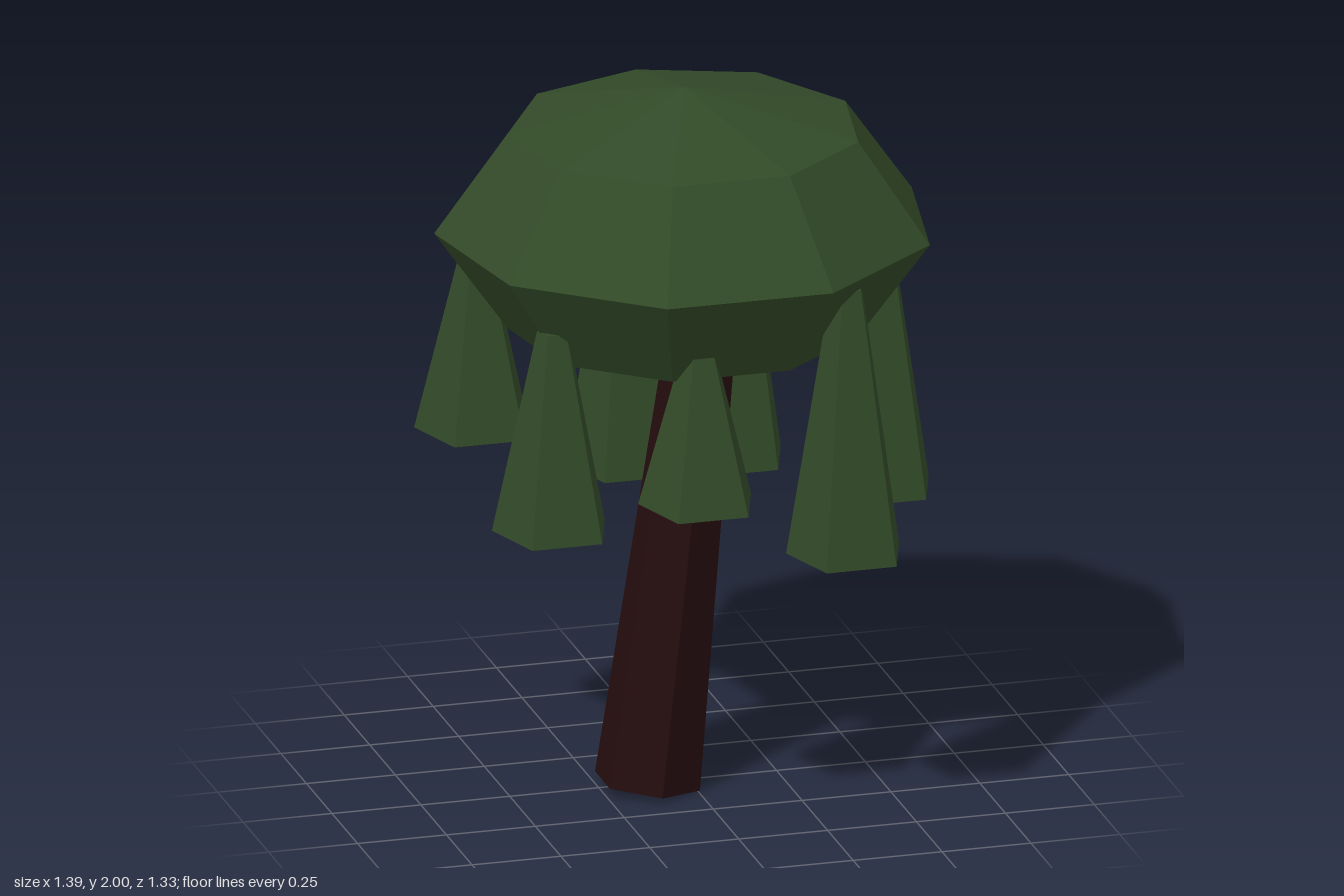
import * as THREE from 'three';

export function createModel() {
  const model = new THREE.Group();
  model.name = 'tree';

  const leafGreen = new THREE.MeshStandardMaterial({ color: 0x324a28, flatShading: true });
  leafGreen.name = 'leaf green';
  const barkBrown = new THREE.MeshStandardMaterial({ color: 0x260d0e, flatShading: true });
  barkBrown.name = 'bark brown';

  const add = (name, geometry, material, x, y, z) => {
    const mesh = new THREE.Mesh(geometry, material);
    mesh.name = name;
    mesh.position.set(x, y, z);
    model.add(mesh);
    return mesh;
  };

  // Leaning six-sided trunk
  const foot = new THREE.Vector3(-0.12, 0.02, 0.025);
  const head = new THREE.Vector3(0.02, 1.195, 0.025);
  const axis = head.clone().sub(foot);
  const middle = foot.clone().add(head).multiplyScalar(0.5);
  const trunk = add('trunk', new THREE.CylinderGeometry(0.1, 0.147, axis.length(), 6),
    barkBrown, middle.x, middle.y, middle.z);
  trunk.quaternion.setFromUnitVectors(new THREE.Vector3(0, 1, 0), axis.normalize());

  // Flattened nine-sided crown, with a corner at the back
  const crown = new THREE.SphereGeometry(1, 9, 4, -Math.PI / 2);
  crown.scale(0.682, 0.395, 0.682);
  add('crown', crown, leafGreen, -0.013, 1.605, 0.02);

  // Hanging five-sided leaf clumps: x, z, bottom, top
  const clumps = [
    [-0.463, 0.3, 0.865, 1.44],
    [-0.105, 0.485, 0.97, 1.42],
    [0.307, 0.5, 0.793, 1.56],
    [0.536, -0.008, 0.788, 1.52],
    [0.251, -0.463, 0.745, 1.54],
    [-0.03, -0.498, 0.742, 1.53],
    [-0.54, -0.193, 1.0, 1.5],
  ];
  clumps.forEach(([x, z, bottom, top], i) => {
    const clump = new THREE.CylinderGeometry(0.045, 0.167, top - bottom, 5, 1, false, Math.PI);
    add(`hangingLeaves${i + 1}`, clump, leafGreen, x, (top + bottom) / 2, z);
  });

  return model;
}
